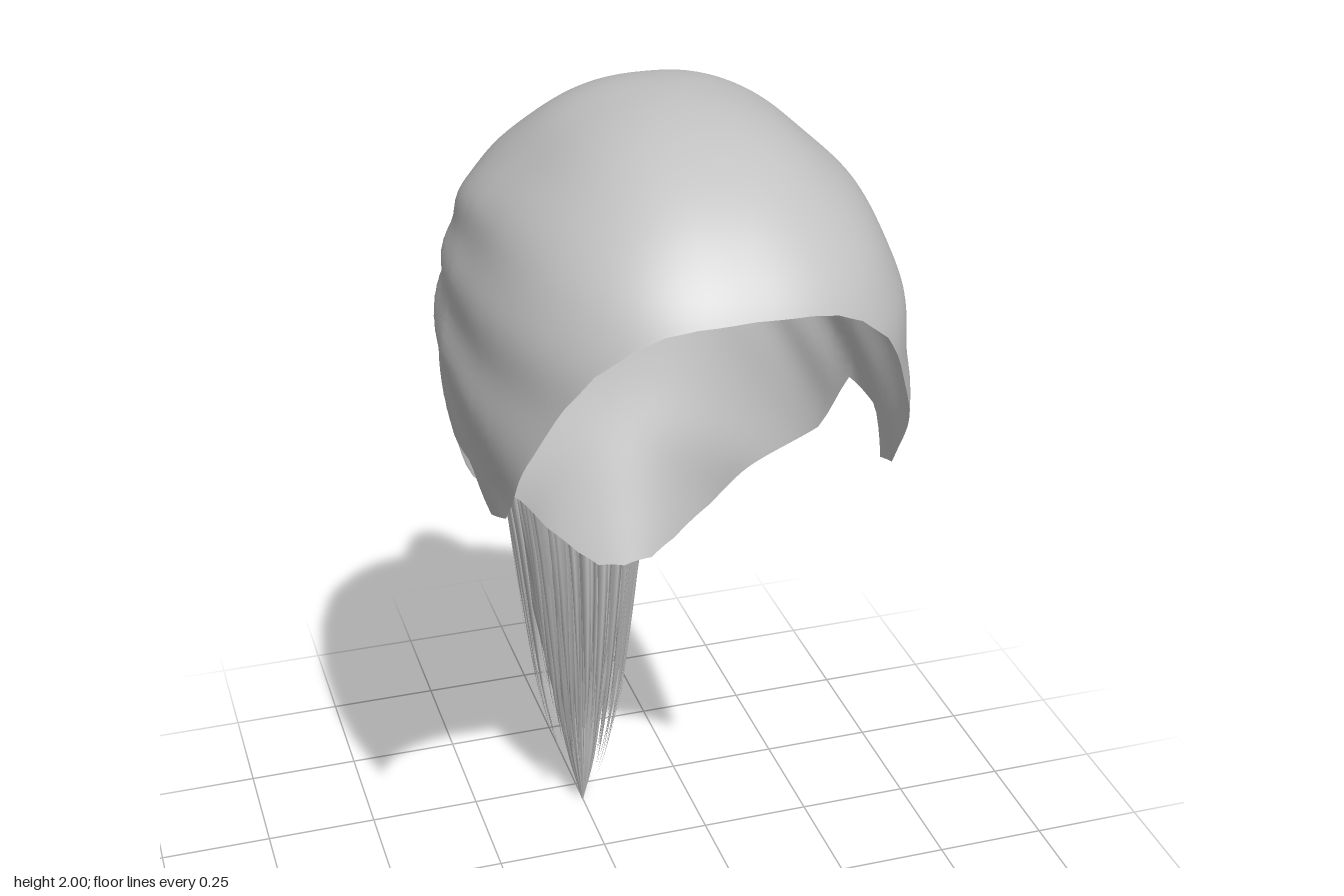
import * as THREE from 'three';

const hairMat = new THREE.MeshStandardMaterial({ color: 0xc2c2c2, side: THREE.DoubleSide });
hairMat.name = 'hair grey';
const { lerp, smoothstep, clamp, degToRad } = THREE.MathUtils;

// Smooth interpolation through [x, value] pairs sorted by x
function smooth(table, x) {
  const n = table.length - 1;
  let i = 0;
  while (i < n - 1 && x > table[i + 1][0]) i++;
  const slope = (k) => {
    const a = table[Math.max(k - 1, 0)], b = table[Math.min(k + 1, n)];
    return (b[1] - a[1]) / (b[0] - a[0]);
  };
  const [x0, y0] = table[i], [x1, y1] = table[i + 1], h = x1 - x0;
  const t = clamp((x - x0) / h, 0, 1), t2 = t * t, t3 = t2 * t;
  return (2 * t3 - 3 * t2 + 1) * y0 + (t3 - 2 * t2 + t) * h * slope(i)
    + (3 * t2 - 2 * t3) * y1 + (t3 - t2) * h * slope(i + 1);
}

function linear(table, x) {
  let i = 0;
  while (i < table.length - 2 && x > table[i + 1][0]) i++;
  const [a, b] = [table[i], table[i + 1]];
  return a[1] + (b[1] - a[1]) * (x - a[0]) / (b[0] - a[0]);
}

// Grid of points from fn(row, column); columns wrap round, skip() leaves holes
function grid(name, rows, cols, fn, skip = () => false) {
  const pts = [], index = [];
  for (let r = 0; r <= rows; r++) for (let c = 0; c < cols; c++) pts.push(fn(r / rows, c / cols));
  for (let r = 0; r < rows; r++) for (let c = 0; c < cols; c++) {
    const a = r * cols + c, b = r * cols + (c + 1) % cols, d = a + cols, e = b + cols;
    if ([a, b, d, e].every((k) => skip(pts[k]))) continue;
    index.push(a, d, b, b, d, e);
  }
  const geo = new THREE.BufferGeometry().setFromPoints(pts);
  geo.setIndex(index);
  geo.computeVertexNormals();
  const mesh = new THREE.Mesh(geo, hairMat);
  mesh.name = name;
  return mesh;
}

// Head outline by height: half width, reach to the front and to the back of z = 0.2
const depthKey = (list) => list.map(([y, v]) => [Math.sqrt(2 - y), v]);
const halfWidth = depthKey([[2, 0], [1.98, 0.12], [1.95, 0.185], [1.9, 0.25], [1.8, 0.342], [1.7, 0.38], [1.6, 0.4],
  [1.5, 0.412], [1.3, 0.39], [1.2, 0.355], [1.1, 0.285], [1, 0.25], [0.86, 0.18]]);
const frontReach = depthKey([[2, 0], [1.98, 0.17], [1.93, 0.3], [1.86, 0.4], [1.76, 0.485],
  [1.65, 0.525], [1.5, 0.525], [1.3, 0.55], [0.86, 0.55]]);
const backReach = depthKey([[2, 0], [1.98, 0.15], [1.9, 0.285], [1.8, 0.39], [1.72, 0.447], [1.6, 0.487],
  [1.5, 0.485], [1.4, 0.46], [1.2, 0.41], [1, 0.335], [0.86, 0.28]]);
// Roundness of the back of the head: fuller above, elliptical at the nape
const backPower = (y) => lerp(1, 0.78, smoothstep(y, 1.1, 1.5));
// Height of the hairline by angle, from the forehead round to the nape
const hairline = [[0, 1.76], [12, 1.755], [20, 1.745], [28, 1.722], [38, 1.67], [47, 1.59], [53, 1.5], [70, 1.31],
  [78, 1.28], [85, 1.35], [96, 1.345], [104, 1.22], [122, 1.1], [136, 1], [150, 0.92], [162, 0.875], [180, 0.86]];
const KNOT_Y = 1.625;

function capPoint(row, col) {
  const u = col * 360, deg = u > 180 ? 360 - u : u, side = u > 180 ? -1 : 1;
  const s = row * Math.sqrt(2 - linear(hairline, deg)), y = 2 - s * s;
  const front = deg < 90, p = front ? 0.83 : backPower(y);
  const reach = smooth(front ? frontReach : backReach, s);
  const cos = Math.cos(degToRad(deg)), sin = Math.sin(degToRad(deg));
  let x = smooth(halfWidth, s) * Math.pow(Math.abs(sin), p);
  const z = 0.2 + Math.sign(cos) * reach * Math.pow(Math.abs(cos), p);
  // shallow combed waves fanning out from the knot
  const fan = Math.atan2(y - KNOT_Y, z + 0.45);
  x *= 1 + 0.011 * Math.sin(fan * 26) * smoothstep(x, 0.15, 0.36) * smoothstep(y, 1.2, 1.4);
  return new THREE.Vector3(side * x, y, z);
}

// Flared neck where the hair is gathered, rising out of the back of the cap
const neckRadius = [[0, 0.128], [0.2, 0.098], [0.45, 0.077], [0.75, 0.065], [1, 0.062]];
function neckPoint(row, col) {
  const a = col * Math.PI * 2, r = smooth(neckRadius, row);
  const x = r * Math.sin(a), y = KNOT_Y + r * Math.cos(a);
  const s = Math.sqrt(2 - y), n = 2 / backPower(y);
  const flat = Math.pow(1 - Math.pow(Math.abs(x) / smooth(halfWidth, s), n), 1 / n);
  const skin = 0.199 - smooth(backReach, s) * flat;
  const end = -0.385 - 0.035 * Math.cos(a);
  return new THREE.Vector3(x, y - 0.025 * row * row, lerp(skin, end, Math.pow(row, 1.4)));
}

// Ponytail guides: outer curve (x holds the half width) and inner curve
const V = (x, y, z) => new THREE.Vector3(x, y, z);
const outer = new THREE.CatmullRomCurve3([V(0.06, 1.665, -0.42), V(0.075, 1.58, -0.475), V(0.12, 1.38, -0.57),
  V(0.155, 1.2, -0.635), V(0.172, 0.98, -0.672), V(0.145, 0.75, -0.665), V(0.115, 0.5, -0.65),
  V(0.088, 0.3, -0.6), V(0.05, 0.13, -0.515), V(0.003, 0, -0.445)]);
const inner = new THREE.CatmullRomCurve3([V(0, 1.535, -0.35), V(0, 1.5, -0.34), V(0, 1.36, -0.325),
  V(0, 1.18, -0.31), V(0, 0.98, -0.285), V(0, 0.75, -0.275), V(0, 0.5, -0.3),
  V(0, 0.3, -0.335), V(0, 0.13, -0.38), V(0, 0, -0.435)]);

function tailPoint(t, a, scale) {
  const o = outer.getPoint(t), i = inner.getPoint(t), c = Math.cos(a) * scale;
  return V(o.x * Math.sin(a) * scale, (o.y + i.y) / 2 + c * (o.y - i.y) / 2, (o.z + i.z) / 2 + c * (o.z - i.z) / 2);
}

function corePoint(row, col) {
  const a = col * Math.PI * 2;
  const ridge = 0.03 * Math.sin(a * 19) * smoothstep(row, 0.05, 0.4);
  const thin = 1 - 0.35 * smoothstep(row, 0.5, 0.85);
  return tailPoint(row, a, (0.95 + ridge) * thin);
}

let seed = 7;
const rand = () => (seed = (seed * 16807) % 2147483647) / 2147483647;

// One tapering lock laid along the surface of the ponytail, loosening towards its tip
function strand(k, count) {
  const a0 = ((k + rand() * 0.8) / count) * Math.PI * 2;
  const start = rand() * 0.25, end = 0.72 + rand() * 0.2;
  const lift = 0.94 + rand() * 0.07, width = 0.06 + rand() * 0.07;
  const drift = (rand() - 0.5) * 0.25, loose = rand() * 0.2 - 0.08;
  return grid('strand', 18, 4, (row, col) => {
    const taper = Math.min(1, row * 4 + 0.15) * (1 - row ** 3) + 0.01;
    const q = col * Math.PI * 2;
    const scale = lift + loose * row ** 3 + Math.sin(q) * 0.035 * taper;
    return tailPoint(lerp(start, end, row), a0 + drift * row + Math.cos(q) * width * taper, scale);
  });
}

export function createModel() {
  const model = new THREE.Group();
  model.name = 'ponytailHair';

  const insideKnot = (p) => p.z < 0 && Math.hypot(p.x, p.y - KNOT_Y) < 0.1;
  model.add(grid('hairCap', 60, 180, capPoint, insideKnot));
  model.add(grid('gatheredNeck', 14, 40, neckPoint));

  const tail = new THREE.Group();
  tail.name = 'ponytail';
  tail.add(grid('ponytailCore', 50, 152, corePoint));
  const count = 110;
  for (let k = 0; k < count; k++) tail.add(strand(k, count));
  model.add(tail);
  return model;
}
